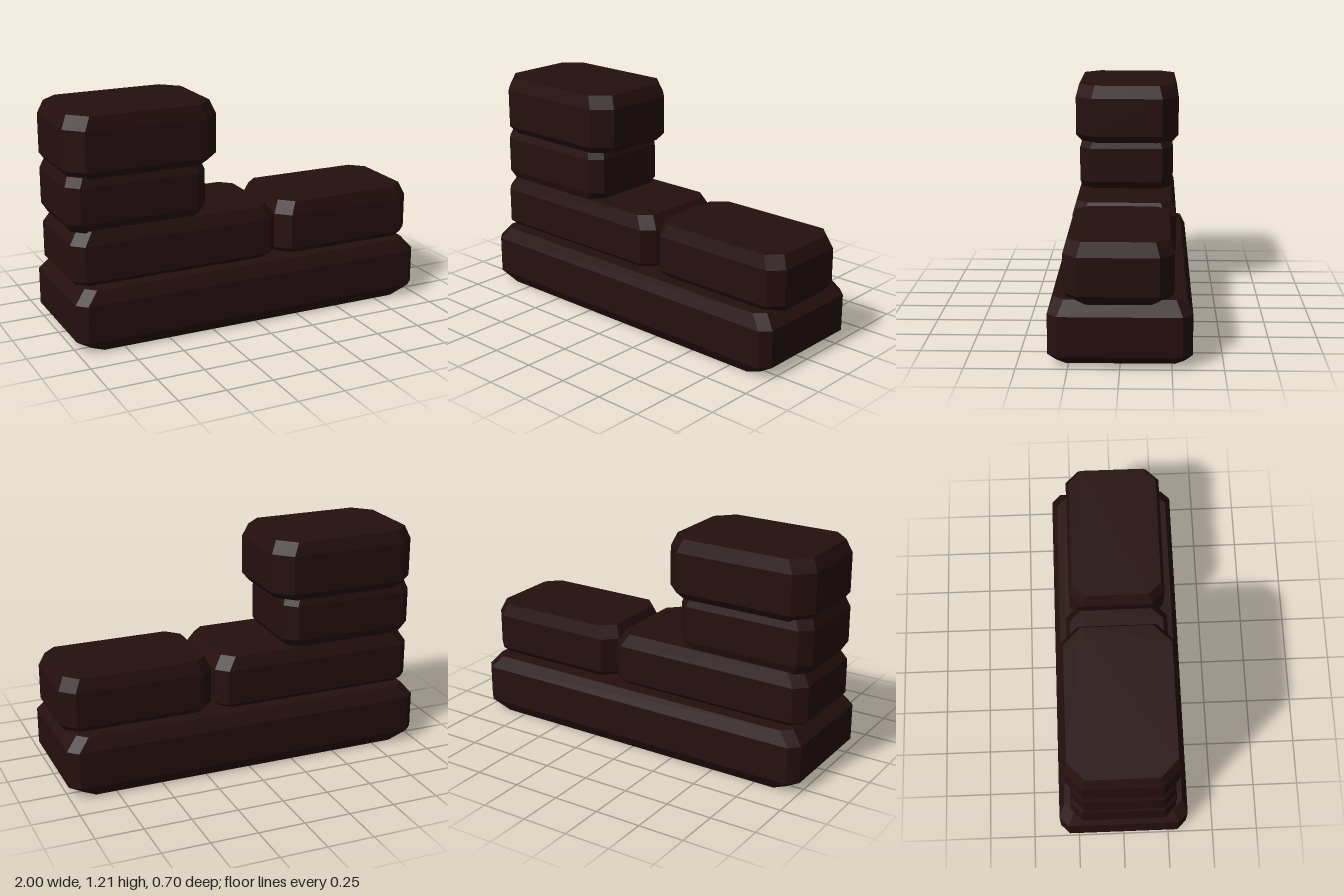
import * as THREE from 'three';

// Eight-sided outline: a rectangle with its corners cut, at height y
function ring(y, [x0, x1, z0, z1], ix, iz, cut) {
  const a = x0 + ix, b = x1 - ix, c = z0 + iz, d = z1 - iz;
  return [
    [b, y, c + cut], [b, y, d - cut], [b - cut, y, d], [a + cut, y, d],
    [a, y, d - cut], [a, y, c + cut], [a + cut, y, c], [b - cut, y, c],
  ];
}

// Bevelled stone block made of four stacked outlines
function stoneGeometry({ box, y, cut, low, high }) {
  const rings = [
    ring(y[0], box, low[0], low[1], cut),
    ring(y[1], box, 0, 0, cut),
    ring(y[2], box, 0, 0, cut),
    ring(y[3], box, high[0], high[1], cut),
  ];
  const pos = [];
  const tri = (...points) => points.forEach((p) => pos.push(...p));
  for (let r = 0; r < 3; r++) {
    for (let i = 0; i < 8; i++) {
      const j = (i + 1) % 8, lo = rings[r], up = rings[r + 1];
      tri(lo[i], up[i], lo[j]);
      tri(lo[j], up[i], up[j]);
    }
  }
  // Flat bottom and top
  for (let i = 1; i < 7; i++) {
    tri(rings[0][0], rings[0][i], rings[0][i + 1]);
    tri(rings[3][0], rings[3][i + 1], rings[3][i]);
  }
  const geometry = new THREE.BufferGeometry();
  geometry.setAttribute('position', new THREE.Float32BufferAttribute(pos, 3));
  geometry.computeVertexNormals();
  return geometry;
}

// box: x0, x1, z0, z1; low and high: bevel insets in x and z
const STONES = {
  baseStone: { box: [-1, 1, -0.35, 0.35], y: [0, 0.06, 0.26, 0.33], cut: 0.05, low: [0.09, 0.035], high: [0.06, 0.03] },
  longStone: { box: [-0.99, 0.16, -0.28, 0.28], y: [0.31, 0.36, 0.55, 0.62], cut: 0.06, low: [0.05, 0.06], high: [0.045, 0.025] },
  endStone: { box: [0.17, 1, -0.26, 0.275], y: [0.31, 0.36, 0.55, 0.62], cut: 0.07, low: [0.04, 0.04], high: [0.03, 0.02] },
  upperStone: { box: [-1, -0.24, -0.265, 0.26], y: [0.61, 0.66, 0.85, 0.9], cut: 0.06, low: [0.03, 0.02], high: [0.02, 0.015] },
  topStone: { box: [-1, -0.17, -0.295, 0.28], y: [0.89, 0.93, 1.14, 1.21], cut: 0.09, low: [0.03, 0.03], high: [0.03, 0.018] },
};

export function createModel() {
  const model = new THREE.Group();
  model.name = 'brokenStoneWall';
  const stone = new THREE.MeshStandardMaterial({ color: 0x260f0f });
  stone.name = 'darkStone';
  for (const [name, spec] of Object.entries(STONES)) {
    const mesh = new THREE.Mesh(stoneGeometry(spec), stone);
    mesh.name = name;
    model.add(mesh);
  }
  return model;
}
